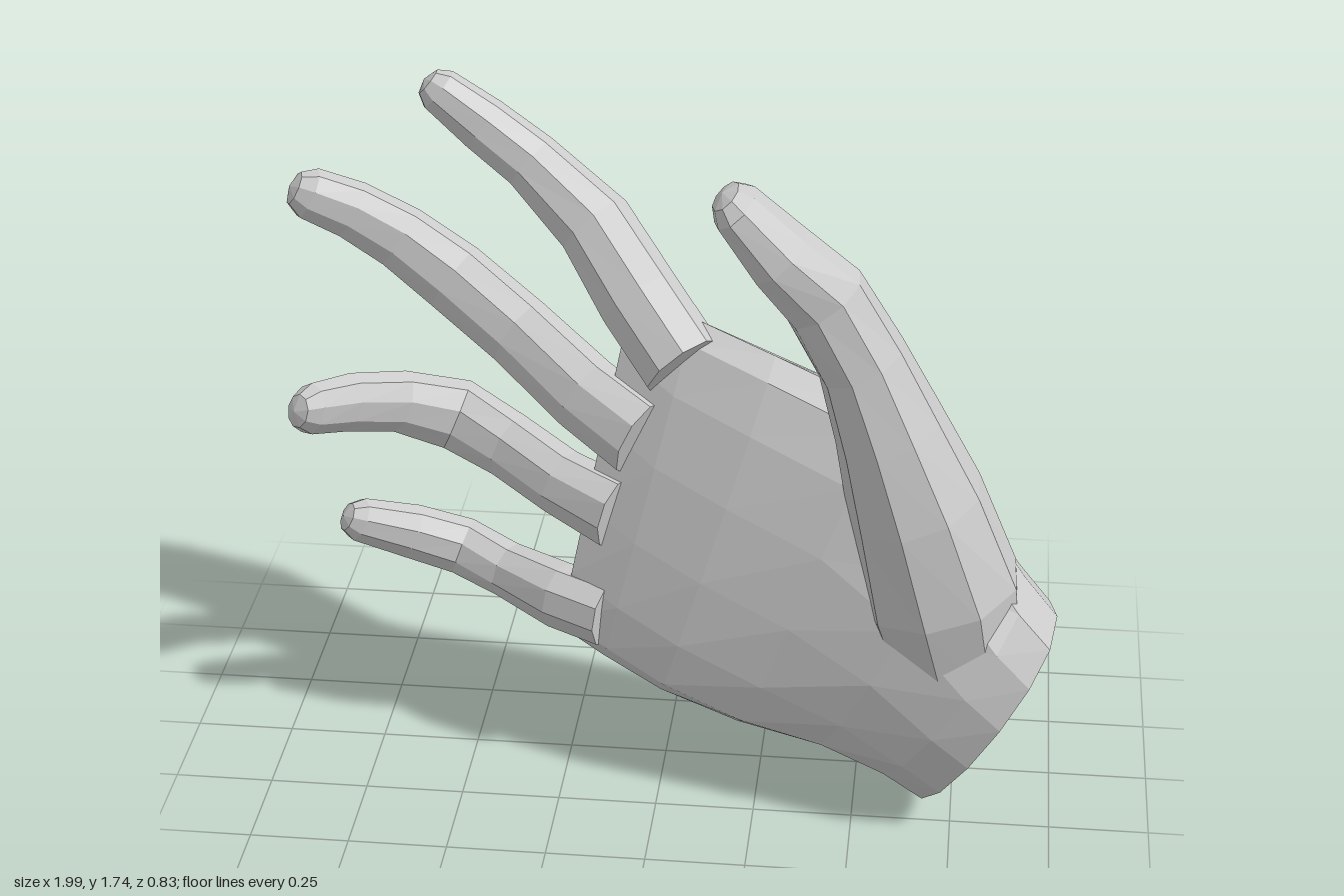
import * as THREE from 'three';

const skin = new THREE.MeshStandardMaterial({ color: 0xcccccc, flatShading: true });
const V = (x, y, z) => new THREE.Vector3(x, y, z);

// Skin a list of equal-sized rings, closing both ends on a pole
function loft(name, rings, startPole, endPole) {
  const n = rings[0].length, pos = [], index = [];
  rings.forEach(r => r.forEach(p => pos.push(p.x, p.y, p.z)));
  const a = n * rings.length, b = a + 1;
  pos.push(...startPole.toArray(), ...endPole.toArray());
  for (let j = 0; j < n; j++) {
    const k = (j + 1) % n, last = n * (rings.length - 1);
    for (let i = 0; i < rings.length - 1; i++) {
      const p = i * n, q = p + n;
      index.push(p + j, p + k, q + j, p + k, q + k, q + j);
    }
    index.push(a, k, j, b, last + j, last + k);
  }
  const g = new THREE.BufferGeometry();
  g.setAttribute('position', new THREE.Float32BufferAttribute(pos, 3));
  g.setIndex(index);
  g.computeVertexNormals();
  const mesh = new THREE.Mesh(g, skin);
  mesh.name = name;
  return mesh;
}

// Digit: joints are [x, y, z, half width, half depth] from root to tip
function digit(name, joints, sides = 9) {
  const c = joints.map(j => V(j[0], j[1], j[2]));
  const ring = (centre, t, w, d) => {
    const W = V(0, 0, -1).cross(t).normalize(), D = t.clone().cross(W);
    return Array.from({ length: sides }, (_, j) => {
      const a = (j + 0.5) / sides * Math.PI * 2;
      return centre.clone().addScaledVector(W, w * Math.cos(a)).addScaledVector(D, d * Math.sin(a));
    });
  };
  let t;
  const rings = c.map((p, i) => {
    const prev = c[Math.max(i - 1, 0)], next = c[Math.min(i + 1, c.length - 1)];
    t = next.clone().sub(prev).normalize();
    return ring(p, t, joints[i][3], joints[i][4]);
  });
  // rounded fingertip
  const tip = c[c.length - 1], [, , , w, d] = joints[joints.length - 1];
  rings.push(ring(tip.clone().addScaledVector(t, w * 0.55), t, w * 0.65, d * 0.65));
  return loft(name, rings, c[0], tip.clone().addScaledVector(t, w * 0.75));
}

// Palm and wrist: little-finger edge, index edge, palm bulge, back bulge
function palm() {
  const sections = [
    [V(0.66, 0.00, 0.07), V(0.99, 0.57, 0.17), 0.24, 0.23],
    [V(0.56, 0.09, 0.10), V(0.91, 0.67, 0.17), 0.25, 0.24],
    [V(0.40, 0.16, 0.13), V(0.76, 0.88, 0.15), 0.20, 0.25],
    [V(0.20, 0.20, 0.15), V(0.54, 1.09, 0.10), 0.14, 0.25],
    [V(0.00, 0.27, 0.13), V(0.27, 1.17, 0.01), 0.11, 0.22],
    [V(-0.15, 0.33, 0.08), V(0.06, 1.22, -0.08), 0.09, 0.16],
    [V(-0.27, 0.38, 0.03), V(-0.09, 1.29, -0.18), 0.07, 0.10],
  ];
  const n = 14;
  const rings = sections.map(([low, high, front, back]) =>
    Array.from({ length: n }, (_, j) => {
      const a = j / n * Math.PI * 2, s = Math.sin(a);
      const p = low.clone().lerp(high, 0.5 + 0.5 * Math.cos(a));
      p.z -= Math.sign(s) * Math.pow(Math.abs(s), 0.8) * (s > 0 ? back : front);
      return p;
    }));
  const mid = ([low, high]) => low.clone().lerp(high, 0.5);
  return loft('palm', rings, mid(sections[0]), mid(sections[sections.length - 1]));
}

export function createModel() {
  const hand = new THREE.Group();
  hand.name = 'hand';
  hand.add(
    palm(),
    digit('thumb', [
      [0.75, 0.42, 0.18, 0.17, 0.17],
      [0.70, 0.66, 0.21, 0.20, 0.20],
      [0.63, 0.90, 0.22, 0.17, 0.19],
      [0.56, 1.10, 0.23, 0.135, 0.16],
      [0.49, 1.28, 0.24, 0.11, 0.125],
      [0.40, 1.44, 0.25, 0.105, 0.105],
      [0.29, 1.56, 0.275, 0.085, 0.11],
      [0.19, 1.68, 0.29, 0.062, 0.09],
    ]),
    digit('indexFinger', [
      [0.04, 1.11, -0.03, 0.11, 0.10],
      [-0.08, 1.23, -0.14, 0.11, 0.10],
      [-0.21, 1.37, -0.28, 0.10, 0.10],
      [-0.38, 1.51, -0.345, 0.08, 0.075],
      [-0.50, 1.60, -0.355, 0.075, 0.065],
      [-0.61, 1.69, -0.35, 0.06, 0.055],
    ]),
    digit('middleFinger', [
      [-0.06, 0.92, 0.0, 0.11, 0.09],
      [-0.21, 0.98, -0.10, 0.105, 0.09],
      [-0.40, 1.08, -0.24, 0.10, 0.085],
      [-0.58, 1.19, -0.32, 0.10, 0.08],
      [-0.72, 1.29, -0.335, 0.09, 0.07],
      [-0.84, 1.37, -0.315, 0.08, 0.065],
      [-0.94, 1.425, -0.28, 0.07, 0.06],
    ]),
    digit('ringFinger', [
      [-0.12, 0.72, 0.03, 0.10, 0.08],
      [-0.27, 0.75, -0.06, 0.09, 0.08],
      [-0.42, 0.79, -0.17, 0.09, 0.08],
      [-0.57, 0.84, -0.235, 0.10, 0.08],
      [-0.71, 0.91, -0.16, 0.085, 0.07],
      [-0.82, 0.96, -0.04, 0.08, 0.065],
      [-0.89, 0.985, 0.055, 0.07, 0.055],
    ]),
    digit('littleFinger', [
      [-0.14, 0.45, 0.07, 0.09, 0.08],
      [-0.27, 0.46, 0.01, 0.09, 0.08],
      [-0.42, 0.47, -0.09, 0.075, 0.07],
      [-0.55, 0.50, -0.15, 0.078, 0.07],
      [-0.68, 0.56, -0.11, 0.075, 0.062],
      [-0.80, 0.625, -0.04, 0.06, 0.05],
    ]),
  );
  return hand;
}
